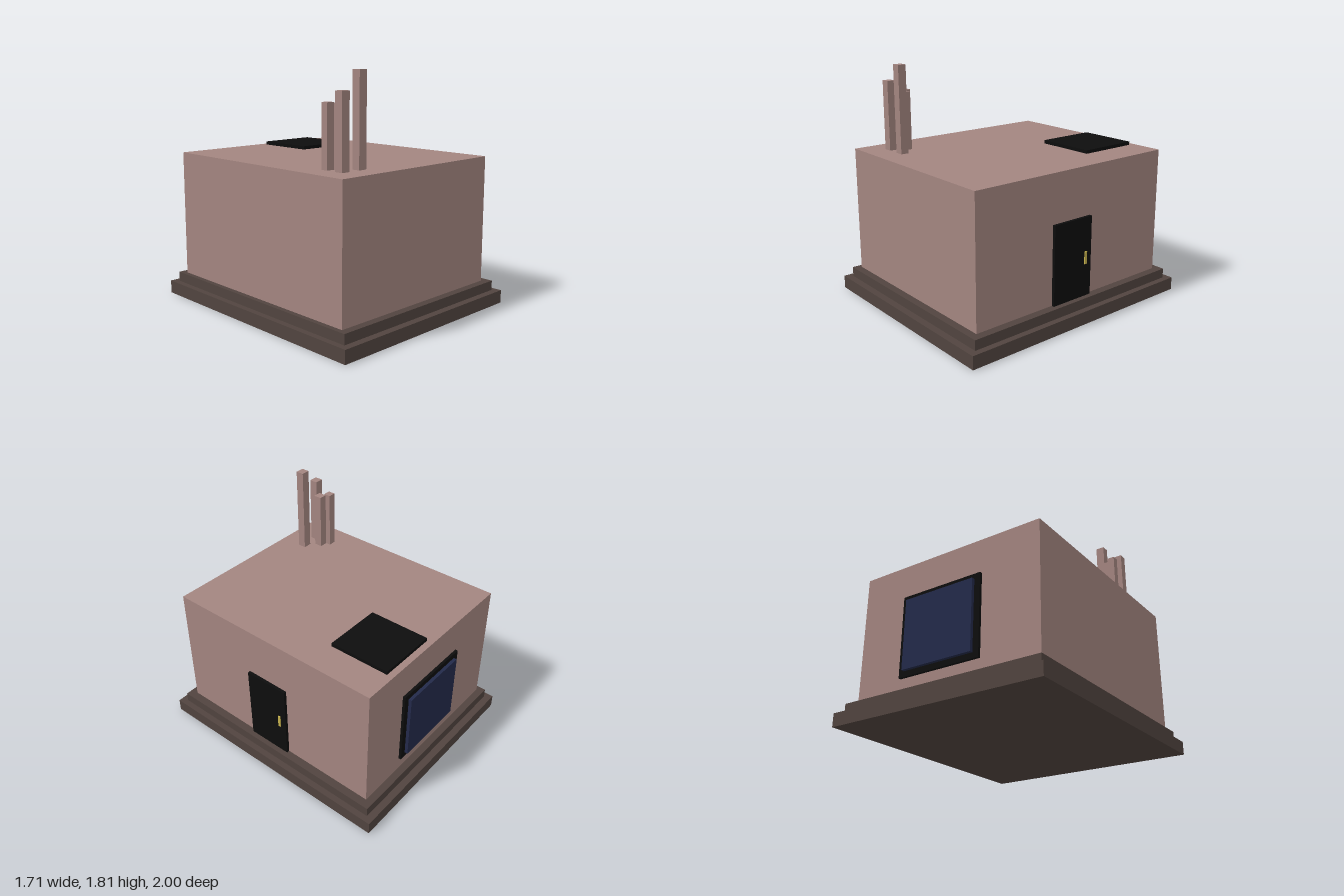
import * as THREE from 'three';

const mat = (color) => new THREE.MeshStandardMaterial({ color });

export function createModel() {
  const model = new THREE.Group();
  model.name = 'house';

  const stone = mat(0x51443f);
  const wall = mat(0xa38580);
  const black = mat(0x0d0d0d);
  const glass = mat(0x232a4a);
  const brass = mat(0xc4b04c);

  // Box given by its extents on each axis
  function block(name, material, [x0, x1], [y0, y1], [z0, z1]) {
    const mesh = new THREE.Mesh(new THREE.BoxGeometry(x1 - x0, y1 - y0, z1 - z0), material);
    mesh.position.set((x0 + x1) / 2, (y0 + y1) / 2, (z0 + z1) / 2);
    mesh.name = name;
    model.add(mesh);
  }

  // Stepped plinth and main body
  block('lowerStep', stone, [-0.855, 0.855], [0, 0.1], [-1, 1]);
  block('upperStep', stone, [-0.808, 0.808], [0.1, 0.175], [-0.945, 0.945]);
  block('walls', wall, [-0.77, 0.745], [0.175, 1.15], [-0.886, 0.886]);

  // Door with its handle on the left side
  block('door', black, [0.735, 0.768], [0.175, 0.78], [-0.147, 0.212]);
  block('doorHandle', brass, [0.76, 0.777], [0.425, 0.522], [-0.1, -0.08]);

  // Window on the back wall
  block('windowFrame', black, [-0.312, 0.357], [0.278, 0.888], [-0.907, -0.876]);
  block('windowPane', glass, [-0.266, 0.314], [0.32, 0.848], [-0.932, -0.9]);

  // Roof hatch
  block('roofHatch', black, [0.025, 0.492], [1.14, 1.176], [-0.836, -0.36]);

  // Chimney cluster: centre x, centre z, width in x, width in z, top
  const chimneys = [
    [-0.571, 0.545, 0.06, 0.056, 1.6],
    [-0.508, 0.59, 0.064, 0.064, 1.595],
    [-0.57, 0.683, 0.068, 0.064, 1.68],
    [-0.411, 0.683, 0.068, 0.064, 1.813],
  ];
  chimneys.forEach(([x, z, w, d, top], i) => {
    block(`chimney${i + 1}`, wall, [x - w / 2, x + w / 2], [1.14, top], [z - d / 2, z + d / 2]);
  });

  return model;
}
